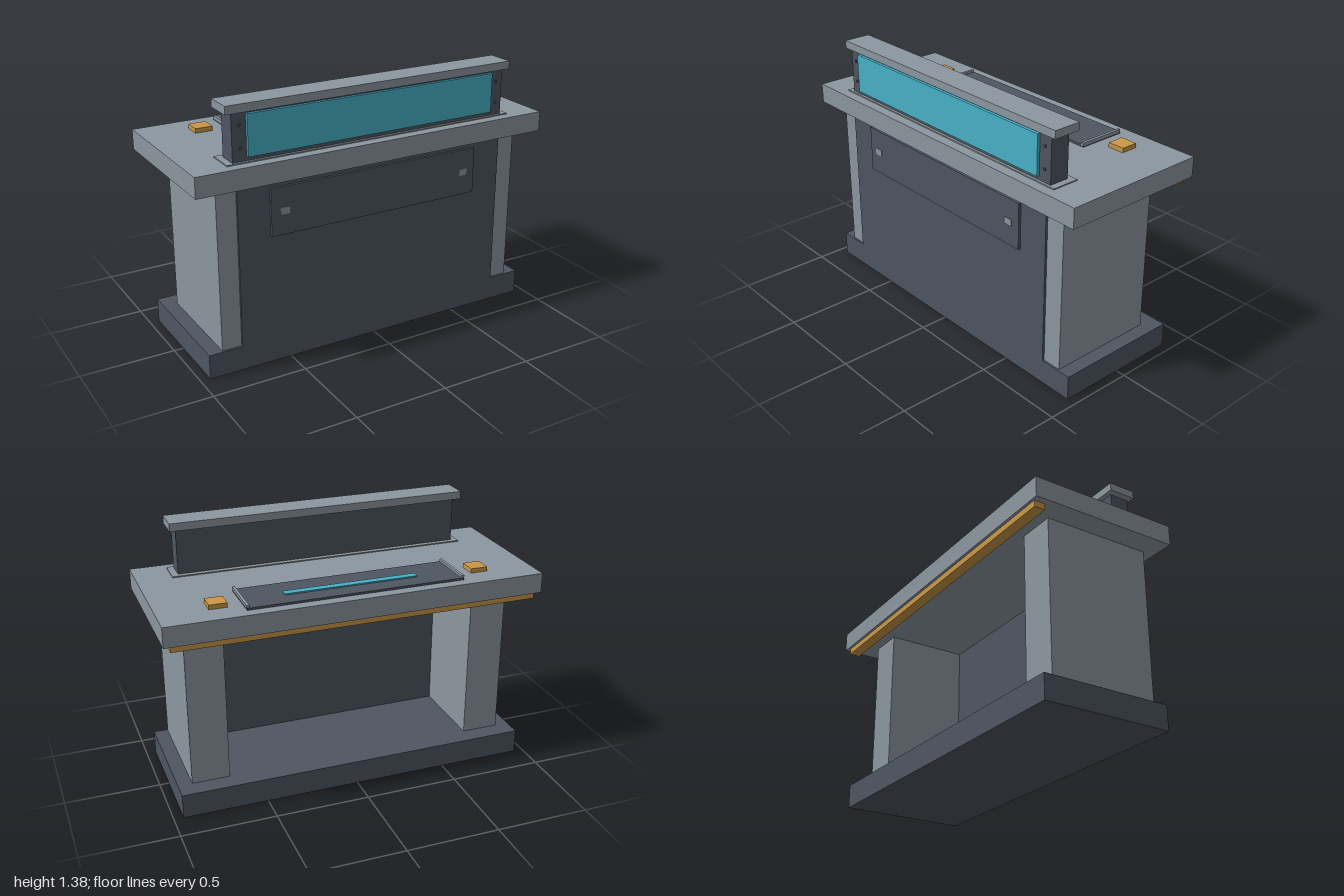
import * as THREE from 'three';

const material = (name, color) => {
  const m = new THREE.MeshStandardMaterial({ color });
  m.name = name;
  return m;
};

export function createModel() {
  const light = material('light grey', 0x8c979f);
  const dark = material('dark slate', 0x4e5661);
  const teal = material('teal', 0x48b2c9);
  const amber = material('amber', 0xcb9846);

  const model = new THREE.Group();
  model.name = 'serviceCounter';

  // Box given by its extents on each axis
  function box(name, mat, [x0, x1], [y0, y1], [z0, z1]) {
    const mesh = new THREE.Mesh(new THREE.BoxGeometry(x1 - x0, y1 - y0, z1 - z0), mat);
    mesh.position.set((x0 + x1) / 2, (y0 + y1) / 2, (z0 + z1) / 2);
    mesh.name = name;
    model.add(mesh);
  }
  // Box centred on x = 0
  const wide = (name, mat, half, y, z) => box(name, mat, [-half, half], y, z);
  // Mirrored pair of boxes
  function pair(name, mat, [x0, x1], y, z) {
    box(name + 'Left', mat, [x0, x1], y, z);
    box(name + 'Right', mat, [-x1, -x0], y, z);
  }

  // Counter body
  wide('base', dark, 0.95, [0, 0.13], [-0.348, 0.349]);
  pair('pillar', light, [0.675, 0.875], [0.13, 0.98], [-0.25, 0.338]);
  wide('frontPanel', dark, 0.77, [0.13, 0.98], [0.2, 0.35]);
  wide('countertop', light, 1, [0.98, 1.087], [-0.405, 0.405]);
  wide('rearLightStrip', amber, 0.965, [0.947, 0.98], [-0.391, -0.332]);

  // Access hatch with two latches
  wide('hatch', dark, 0.6, [0.69, 0.94], [0.35, 0.364]);
  pair('latch', light, [0.503, 0.552], [0.798, 0.834], [0.364, 0.368]);

  // Raised display
  wide('displayFoot', light, 0.815, [1.087, 1.093], [0.2, 0.35]);
  wide('displayBody', dark, 0.78, [1.093, 1.335], [0.228, 0.336]);
  wide('displayCap', light, 0.815, [1.335, 1.377], [0.2, 0.35]);
  wide('displayScreen', teal, 0.705, [1.115, 1.326], [0.336, 0.352]);
  for (const y of [1.16, 1.275]) {
    pair('screw', dark, [0.735, 0.747], [y - 0.006, y + 0.006], [0.336, 0.342]);
  }

  // Operator console
  wide('consolePlate', dark, 0.575, [1.087, 1.098], [-0.346, -0.083]);
  pair('consoleRail', light, [0.562, 0.577], [1.095, 1.111], [-0.343, -0.08]);
  wide('consoleLight', teal, 0.355, [1.098, 1.105], [-0.25, -0.21]);
  pair('button', amber, [0.652, 0.745], [1.087, 1.111], [-0.274, -0.181]);

  return model;
}
